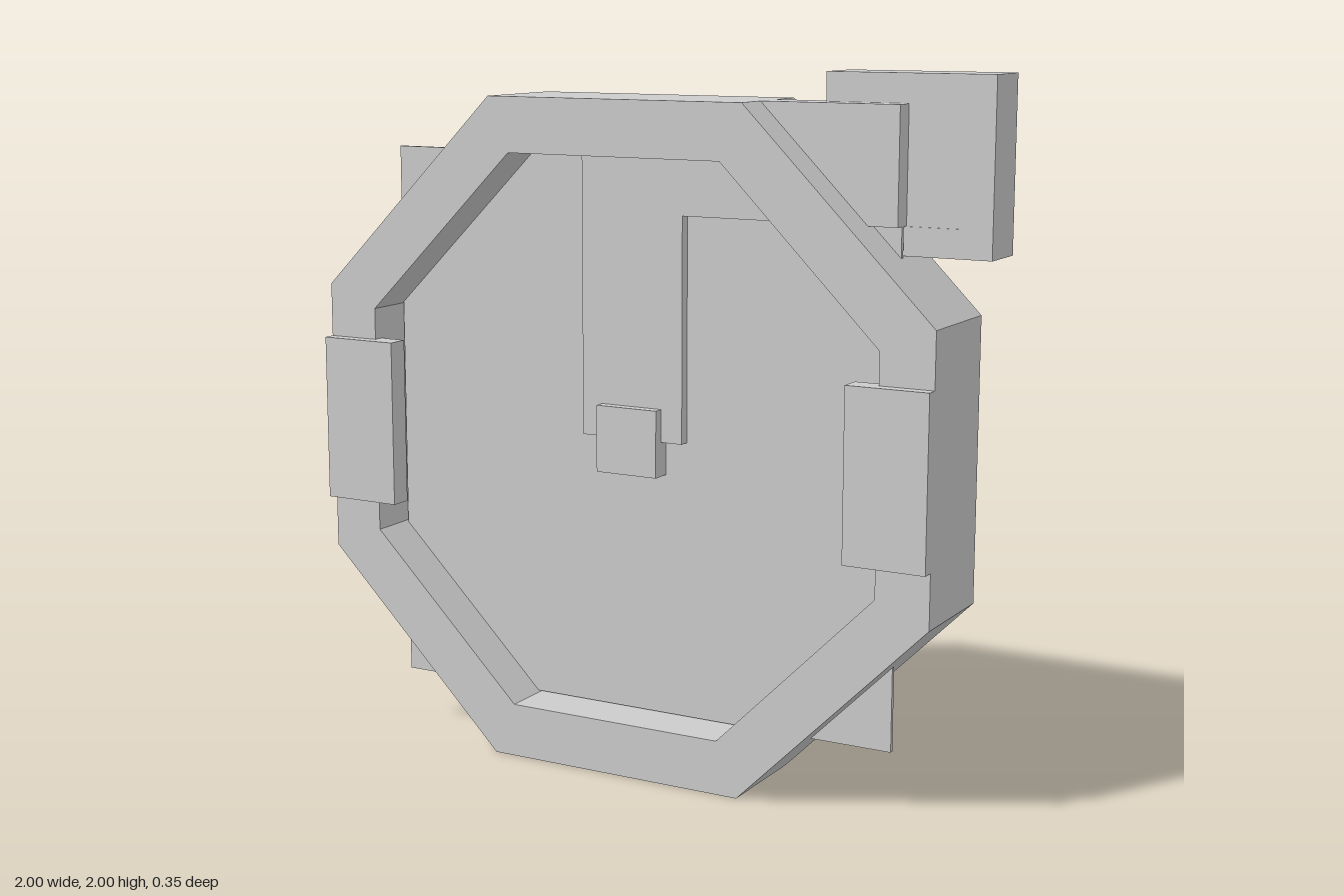
import * as THREE from 'three';

export function createModel() {
  const model = new THREE.Group();
  const grey = new THREE.MeshStandardMaterial({ color: 0xcccccc });
  grey.name = 'plain grey';

  const add = (name, geometry) => {
    const mesh = new THREE.Mesh(geometry, grey);
    mesh.name = name;
    model.add(mesh);
    return mesh;
  };

  // Box given by its limits on each axis
  const box = (name, [x0, x1], [y0, y1], [z0, z1]) => {
    const g = new THREE.BoxGeometry(x1 - x0, y1 - y0, z1 - z0);
    add(name, g.translate((x0 + x1) / 2, (y0 + y1) / 2, (z0 + z1) / 2));
  };

  // Flat outline extruded between two depths
  const slab = (name, outline, hole, z0, z1) => {
    const shape = new THREE.Shape(outline);
    if (hole) shape.holes.push(new THREE.Path(hole));
    const g = new THREE.ExtrudeGeometry(shape, { depth: z1 - z0, bevelEnabled: false });
    add(name, g.translate(0, 0, z0));
  };

  const cx = -0.042, cy = 0.963;
  // Regular octagon with flat sides at distance r from the centre
  const octagon = (r) => Array.from({ length: 8 }, (_, i) => {
    const a = (i + 0.5) * Math.PI / 4, c = r / Math.cos(Math.PI / 8);
    return new THREE.Vector2(cx + c * Math.cos(a), cy + c * Math.sin(a));
  });
  const square = (x, y, r) => [[-r, -r], [r, -r], [r, r], [-r, r]]
    .map(([u, v]) => new THREE.Vector2(x + u, y + v));

  // Case and the thin square dial whose corners poke out through it
  slab('octagonRim', octagon(0.958), octagon(0.802), -0.175, 0.14);
  slab('dialPlate', square(cx, cy, 0.798), null, -0.012, 0);

  // Bent arm running from the hub up and out to the corner frame
  const arm = [[-0.2, 0.965], [0.12, 0.965], [0.12, 1.603], [0.757, 1.603], [0.757, 1.921], [-0.2, 1.921]];
  slab('bentArm', arm.map(([x, y]) => new THREE.Vector2(x, y)), null, -0.07, 0.03);
  box('hub', [-0.138, 0.054], [0.867, 1.059], [-0.005, 0.06]);

  // Raised pads on both sides of the rim
  for (const s of [-1, 1]) {
    const outer = cx + s * 0.958, inner = cx + s * 0.721;
    box(s < 0 ? 'rightPad' : 'leftPad',
      [Math.min(outer, inner), Math.max(outer, inner)], [0.722, 1.204], [0.11, 0.175]);
  }

  // Square frame at the corner, closed at the front by a thin panel
  slab('cornerFrame', square(0.76, 1.762, 0.238), square(0.76, 1.762, 0.16), -0.175, -0.025);
  box('framePanel', [0.6, 0.92], [1.602, 1.922], [-0.036, -0.028]);

  return model;
}
